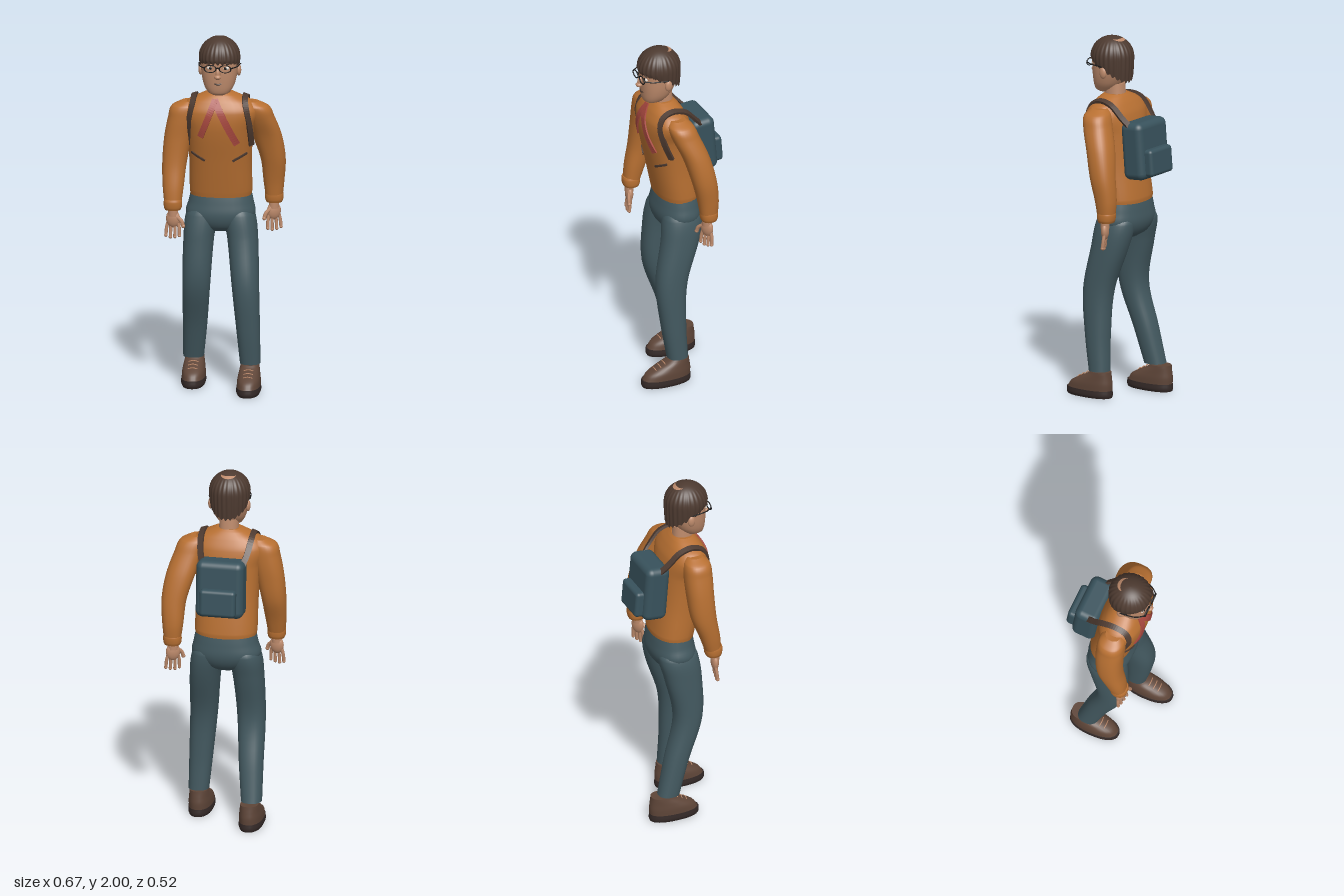
import * as THREE from 'three';
import { RoundedBoxGeometry } from 'three/addons/geometries/RoundedBoxGeometry.js';

const material = (name, color, side = THREE.FrontSide) => {
  const m = new THREE.MeshStandardMaterial({ color, side });
  m.name = name;
  return m;
};
const V = (x, y, z) => new THREE.Vector3(x, y, z);
const CX = -0.02; // middle of head and torso
const POW = 2.3; // roundness of cross-sections

// A section is [y, x, z, rx, rz]; smooth value at height y
function sectionAt(s, y) {
  let i = 0;
  while (i < s.length - 2 && y > s[i + 1][0]) i++;
  const slope = (k, c) => {
    const a = s[Math.max(k - 1, 0)], b = s[Math.min(k + 1, s.length - 1)];
    return (b[c] - a[c]) / (b[0] - a[0]);
  };
  const h = s[i + 1][0] - s[i][0], t = Math.min(Math.max((y - s[i][0]) / h, 0), 1);
  return [0, 1, 2, 3, 4].map((c) => c === 0 ? y :
    s[i][c] * (2 * t ** 3 - 3 * t * t + 1) + s[i + 1][c] * (3 * t * t - 2 * t ** 3) +
    h * (slope(i, c) * (t ** 3 - 2 * t * t + t) + slope(i + 1, c) * (t ** 3 - t * t)));
}

// Closed body through horizontal oval sections, listed from bottom to top
function loft(s, steps = 6, seg = 32) {
  const pos = [], idx = [], rings = [];
  for (let i = 0; i < s.length - 1; i++)
    for (let k = 0; k < steps; k++) rings.push(sectionAt(s, s[i][0] + (s[i + 1][0] - s[i][0]) * k / steps));
  rings.push(s[s.length - 1]);
  const ring = ([y, x, z, rx, rz]) => {
    const start = pos.length / 3;
    for (let j = 0; j < seg; j++) {
      const a = j / seg * Math.PI * 2, c = Math.cos(a), d = Math.sin(a);
      pos.push(x + rx * Math.sign(c) * Math.abs(c) ** (2 / POW), y, z + rz * Math.sign(d) * Math.abs(d) ** (2 / POW));
    }
    return start;
  };
  rings.forEach(ring);
  for (let i = 0; i < rings.length - 1; i++)
    for (let j = 0; j < seg; j++) {
      const a = i * seg + j, b = i * seg + (j + 1) % seg;
      idx.push(a, a + seg, b, b, a + seg, b + seg);
    }
  for (const [r, top] of [[rings[0], false], [rings[rings.length - 1], true]]) {
    const st = ring(r), mid = pos.length / 3;
    pos.push(r[1], r[0], r[2]);
    for (let j = 0; j < seg; j++) {
      const a = st + j, b = st + (j + 1) % seg;
      idx.push(...(top ? [mid, b, a] : [mid, a, b]));
    }
  }
  return build(pos, idx);
}

function build(pos, idx) {
  const g = new THREE.BufferGeometry();
  g.setAttribute('position', new THREE.Float32BufferAttribute(pos, 3));
  g.setIndex(idx);
  g.computeVertexNormals();
  return g;
}

// Flat band of width w and thickness t along points, facing normalAt(point)
function band(points, normalAt, w, t, n = 20) {
  const curve = new THREE.CatmullRomCurve3(points), pos = [], idx = [];
  for (let i = 0; i <= n; i++) {
    const p = curve.getPoint(i / n), tan = curve.getTangent(i / n), nor = normalAt(p);
    const side = nor.clone().cross(tan).normalize();
    nor.copy(tan).cross(side).normalize();
    for (const [a, b] of [[-1, -1], [1, -1], [1, 1], [-1, 1]])
      pos.push(...p.clone().addScaledVector(side, a * w / 2).addScaledVector(nor, b * t / 2).toArray());
  }
  for (let i = 0; i < n; i++)
    for (let k = 0; k < 4; k++) {
      const a = i * 4 + k, b = i * 4 + (k + 1) % 4;
      idx.push(a, b, a + 4, b, b + 4, a + 4);
    }
  idx.push(0, 2, 1, 0, 3, 2, n * 4, n * 4 + 1, n * 4 + 2, n * 4, n * 4 + 2, n * 4 + 3);
  const g = build(pos, idx).toNonIndexed();
  g.computeVertexNormals();
  return g;
}

const tube = (pts, r, n = 16) => new THREE.TubeGeometry(new THREE.CatmullRomCurve3(pts), n, r, 6);

const TORSO = [
  [1.09, CX, -0.015, 0.168, 0.113], [1.12, CX, -0.012, 0.172, 0.117], [1.3, CX, 0.02, 0.172, 0.122],
  [1.48, CX, 0.048, 0.185, 0.13], [1.58, CX, 0.058, 0.212, 0.12], [1.635, CX, 0.06, 0.175, 0.095],
  [1.67, CX, 0.06, 0.105, 0.07], [1.685, CX, 0.06, 0.07, 0.055]];
const chestZ = (x, y) => {
  const [, cx, z, rx, rz] = sectionAt(TORSO, y);
  return z + rz * Math.max(1 - Math.min(Math.abs((x - cx) / rx), 1) ** POW, 0) ** (1 / POW);
};
const chestNormal = (p) => {
  const e = 0.01;
  return V((chestZ(p.x - e, p.y) - chestZ(p.x + e, p.y)) / (2 * e),
    (chestZ(p.x, p.y - e) - chestZ(p.x, p.y + e)) / (2 * e), 1).normalize();
};
// Band lying on the chest between two front positions
function chestBand(a, b, w, t) {
  const pts = [];
  for (let i = 0; i <= 8; i++) {
    const x = a[0] + (b[0] - a[0]) * i / 8, y = a[1] + (b[1] - a[1]) * i / 8;
    const p = V(x, y, chestZ(x, y));
    pts.push(p.addScaledVector(chestNormal(p), 0.003));
  }
  return band(pts, chestNormal, w, t);
}

// Ribbed hair cap whose lower edge falls from the fringe to the nape
function hairGeometry() {
  const pos = [], idx = [], U = 208, R = 24;
  for (let i = 0; i <= R; i++)
    for (let j = 0; j < U; j++) {
      const a = j / U * Math.PI * 2, s = Math.sin(a), rib = Math.cos(a * 26);
      const edge = 1.832 + 0.057 * s - 0.02 * s * s + 0.007 * rib;
      const v = i / R, th = Math.min(v / 0.6, 1) * Math.PI / 2, low = Math.max((v - 0.6) / 0.4, 0);
      const r = Math.sin(th) * (1 + 0.02 * rib * Math.min(v * 1.6, 1) * (v > 0.25 ? 1 : 0)) * (1 - 0.05 * low * low);
      pos.push(CX + 0.112 * r * Math.cos(a), 1.89 + 0.11 * Math.cos(th) + (edge - 1.89) * low, 0.082 + 0.12 * r * s);
    }
  for (let i = 0; i < R; i++)
    for (let j = 0; j < U; j++) {
      const a = i * U + j, b = i * U + (j + 1) % U;
      idx.push(a, b, a + U, b, b + U, a + U);
    }
  return build(pos, idx);
}

// Crescent of bare scalp on the crown
function crownGeometry() {
  const g = new THREE.PlaneGeometry(1, 1, 16, 3), p = g.attributes.position;
  for (let i = 0; i < p.count; i++) {
    const a = (p.getX(i) + 0.5) * Math.PI, r = 0.042 - (p.getY(i) + 0.5) * 0.02 * Math.sin(a);
    const x = -r * Math.cos(a), z = 0.05 - r * Math.sin(a);
    p.setXYZ(i, CX + x, 1.8925 + 0.11 * Math.sqrt(1 - (x / 0.112) ** 2 - ((z - 0.082) / 0.12) ** 2), z);
  }
  g.computeVertexNormals();
  return g;
}

export function createModel() {
  const model = new THREE.Group();
  const skin = material('skin', 0xbd8a6b, THREE.DoubleSide), hair = material('dark brown', 0x4d3a30, THREE.DoubleSide);
  const sweater = material('orange wool', 0xb87032), trousers = material('slate cloth', 0x435960);
  const pack = material('blue grey canvas', 0x38525c), shoe = material('brown leather', 0x5e4538);
  const sole = material('sole', 0x352a28), red = material('red cloth', 0xa8483f);
  const black = material('black', 0x1b1a1a), white = material('eye white', 0xe6e0d8);
  const add = (name, geo, mat, at = [0, 0, 0], scale = [1, 1, 1], parent = model) => {
    const m = new THREE.Mesh(geo, mat);
    m.name = name;
    m.position.set(...at);
    m.scale.set(...scale);
    parent.add(m);
    return m;
  };
  const ball = new THREE.SphereGeometry(1, 24, 16);

  // Torso, neck and hips
  add('sweaterBody', loft(TORSO), sweater);
  add('neck', loft([[1.65, CX, 0.06, 0.055, 0.058], [1.74, CX, 0.068, 0.052, 0.058]]), skin);
  add('hips', loft([[0.89, CX, -0.01, 0.07, 0.06], [0.92, CX, -0.012, 0.14, 0.1], [0.98, -0.023, -0.015, 0.19, 0.122],
    [1.05, CX, -0.017, 0.178, 0.117], [1.12, CX, -0.018, 0.163, 0.106]]), trousers);

  // Legs in mid stride, with shoes
  const legs = {
    left: [[0.15, 0.145, 0.047, 0.056, 0.058], [0.35, 0.135, 0.066, 0.065, 0.07], [0.6, 0.12, 0.07, 0.075, 0.088],
      [0.85, 0.1, 0.008, 0.084, 0.108], [0.98, 0.078, -0.013, 0.088, 0.112], [1.04, 0.06, -0.015, 0.07, 0.09]],
    right: [[0.15, -0.178, -0.093, 0.057, 0.06], [0.35, -0.165, -0.04, 0.067, 0.067], [0.6, -0.152, 0.033, 0.077, 0.08],
      [0.85, -0.14, 0.01, 0.084, 0.105], [0.98, -0.122, -0.013, 0.09, 0.112], [1.04, -0.1, -0.015, 0.07, 0.09]] };
  for (const [side, x, heel] of [['left', 0.143, -0.03], ['right', -0.175, -0.205]]) {
    add(side + 'TrouserLeg', loft(legs[side]), trousers);
    const ring = (y, back, front, rx) => [y, x, heel + (back + front) / 2, rx, (front - back) / 2];
    add(side + 'Sole', loft([ring(0, 0.004, 0.284, 0.061), ring(0.015, 0, 0.29, 0.067), ring(0.042, 0.002, 0.288, 0.066)]), sole);
    add(side + 'Shoe', loft([ring(0.04, 0.003, 0.283, 0.064), ring(0.075, 0.002, 0.258, 0.063), ring(0.105, 0.006, 0.205, 0.058),
      ring(0.13, 0.01, 0.15, 0.053), ring(0.145, 0.012, 0.128, 0.05)]), shoe);
    for (let i = 0; i < 3; i++) {
      const y = 0.131 - i * 0.014, z = heel + 0.158 + i * 0.027;
      add(side + 'Lace', tube([V(x - 0.026, y - 0.007, z), V(x, y, z + 0.003), V(x + 0.026, y - 0.007, z)], 0.003), skin);
    }
  }

  // Arms, cuffs and hands
  const arms = {
    left: [[1.05, 0.265, -0.088, 0.045, 0.046], [1.15, 0.264, -0.083, 0.057, 0.058], [1.28, 0.262, -0.06, 0.068, 0.068],
      [1.42, 0.232, -0.025, 0.08, 0.073], [1.54, 0.195, 0.022, 0.079, 0.076], [1.6, 0.172, 0.04, 0.075, 0.07], [1.63, 0.14, 0.045, 0.05, 0.045]],
    right: [[1.05, -0.272, 0.133, 0.045, 0.043], [1.15, -0.272, 0.112, 0.057, 0.056], [1.28, -0.268, 0.077, 0.067, 0.07],
      [1.42, -0.25, 0.064, 0.076, 0.075], [1.54, -0.225, 0.062, 0.079, 0.077], [1.6, -0.21, 0.062, 0.075, 0.07], [1.63, -0.18, 0.06, 0.05, 0.045]] };
  for (const [side, s, x, z, yaw] of [['left', 1, 0.264, -0.078, 0.45], ['right', -1, -0.27, 0.144, -0.2]]) {
    add(side + 'Sleeve', loft(arms[side]), sweater);
    const [, ax, az] = arms[side][0];
    add(side + 'Cuff', loft([[1.03, ax, az, 0.043, 0.041], [1.045, ax, az, 0.049, 0.047], [1.075, ax, az, 0.05, 0.05], [1.09, ax, az, 0.046, 0.046]]), sweater);
    const hand = new THREE.Group();
    hand.name = side + 'Hand';
    hand.position.set(x, 0.985, z);
    hand.rotation.y = yaw;
    model.add(hand);
    add('wrist', new THREE.CylinderGeometry(0.029, 0.029, 0.06, 16), skin, [0, 0.04, 0], [1, 1, 0.85], hand);
    add('palm', ball, skin, [0, -0.005, 0], [0.04, 0.05, 0.022], hand);
    for (let i = 0; i < 4; i++) {
      const u = (i - 1.5) * 0.019, len = 0.075 - Math.abs(i - 1.3) * 0.008;
      add('finger', tube([V(u, -0.025, 0), V(u * 1.25, -0.055, 0.003), V(u * 1.35, -0.035 - len, 0.008)], 0.0095), skin, [0, 0, 0], [1, 1, 1], hand);
      add('fingertip', ball, skin, [u * 1.35, -0.035 - len, 0.008], [0.0095, 0.0095, 0.0095], hand);
    }
    add('thumb', tube([V(-s * 0.02, 0.01, 0.005), V(-s * 0.05, -0.012, 0.012), V(-s * 0.062, -0.04, 0.014)], 0.011), skin, [0, 0, 0], [1, 1, 1], hand);
    add('thumbTip', ball, skin, [-s * 0.062, -0.04, 0.014], [0.011, 0.011, 0.011], hand);
  }

  // Red neck bands and slanted pocket slits
  add('neckBandRight', chestBand([-0.038, 1.655], [-0.118, 1.45], 0.034, 0.009), red);
  add('neckBandLeft', chestBand([-0.042, 1.655], [0.08, 1.41], 0.038, 0.009), red);
  add('pocketSlitRight', chestBand([-0.17, 1.35], [-0.095, 1.31], 0.011, 0.008), hair);
  add('pocketSlitLeft', chestBand([0.055, 1.31], [0.13, 1.35], 0.011, 0.008), hair);

  // Backpack and shoulder straps
  const bag = new THREE.Group();
  bag.name = 'backpack';
  bag.position.set(CX + 0.002, 1.4, -0.142);
  bag.rotation.x = 0.08;
  model.add(bag);
  add('packBody', new RoundedBoxGeometry(0.265, 0.32, 0.14, 5, 0.038), pack, [0, 0, 0], [1, 1, 1], bag);
  add('packPocket', new RoundedBoxGeometry(0.2, 0.15, 0.06, 4, 0.02), pack, [0, -0.065, -0.083], [1, 1, 1], bag);
  for (const s of [1, -1]) {
    const path = [[0.175, 1.39, 0.085], [0.168, 1.5, 0.128], [0.152, 1.59, 0.142], [0.142, 1.64, 0.118], [0.14, 1.663, 0.06],
      [0.14, 1.645, -0.015], [0.13, 1.58, -0.08], [0.108, 1.52, -0.135]].map(([x, y, z]) => V(CX + s * x, y, z));
    add('shoulderStrap', band(path, (p) => V(s * 0.06, p.y - 1.48, p.z - 0.04).normalize(), 0.032, 0.014, 40), hair);
  }

  // Head and hair
  add('head', loft([[1.685, CX, 0.125, 0.035, 0.035], [1.7, CX, 0.118, 0.062, 0.058], [1.75, CX, 0.1, 0.088, 0.085],
    [1.83, CX, 0.085, 0.101, 0.104], [1.91, CX, 0.082, 0.098, 0.104], [1.96, CX, 0.082, 0.06, 0.062], [1.98, CX, 0.082, 0.025, 0.025]]), skin);
  add('hair', hairGeometry(), hair);
  add('bareCrown', crownGeometry(), skin);

  // Face
  add('nose', ball, skin, [CX, 1.815, 0.19], [0.014, 0.032, 0.02]);
  add('noseTip', ball, skin, [CX, 1.798, 0.2], [0.019, 0.014, 0.019]);
  add('mouth', tube([V(CX - 0.024, 1.758, 0.178), V(CX, 1.752, 0.187), V(CX + 0.024, 1.758, 0.178)], 0.005), hair);
  for (const s of [1, -1]) {
    const x = CX + s * 0.041;
    add('ear', ball, skin, [CX + s * 0.104, 1.81, 0.07], [0.014, 0.032, 0.021]);
    add('eye', ball, white, [x, 1.845, 0.178], [0.02, 0.011, 0.009]);
    add('iris', ball, black, [x, 1.845, 0.185], [0.008, 0.009, 0.004]);
    add('eyebrow', tube([V(x - 0.022, 1.868, 0.182), V(x, 1.874, 0.187), V(x + 0.022, 1.868, 0.182)], 0.004), hair);
    add('glassesRim', new THREE.TorusGeometry(0.032, 0.0035, 8, 32), black, [x, 1.845, 0.202], [1, 0.64, 1]);
    add('glassesTemple', tube([V(CX + s * 0.072, 1.849, 0.202), V(CX + s * 0.1, 1.849, 0.16), V(CX + s * 0.115, 1.846, 0.07)], 0.0035), black);
  }
  add('glassesBridge', tube([V(CX - 0.011, 1.847, 0.202), V(CX, 1.851, 0.206), V(CX + 0.011, 1.847, 0.202)], 0.0035), black);
  return model;
}
